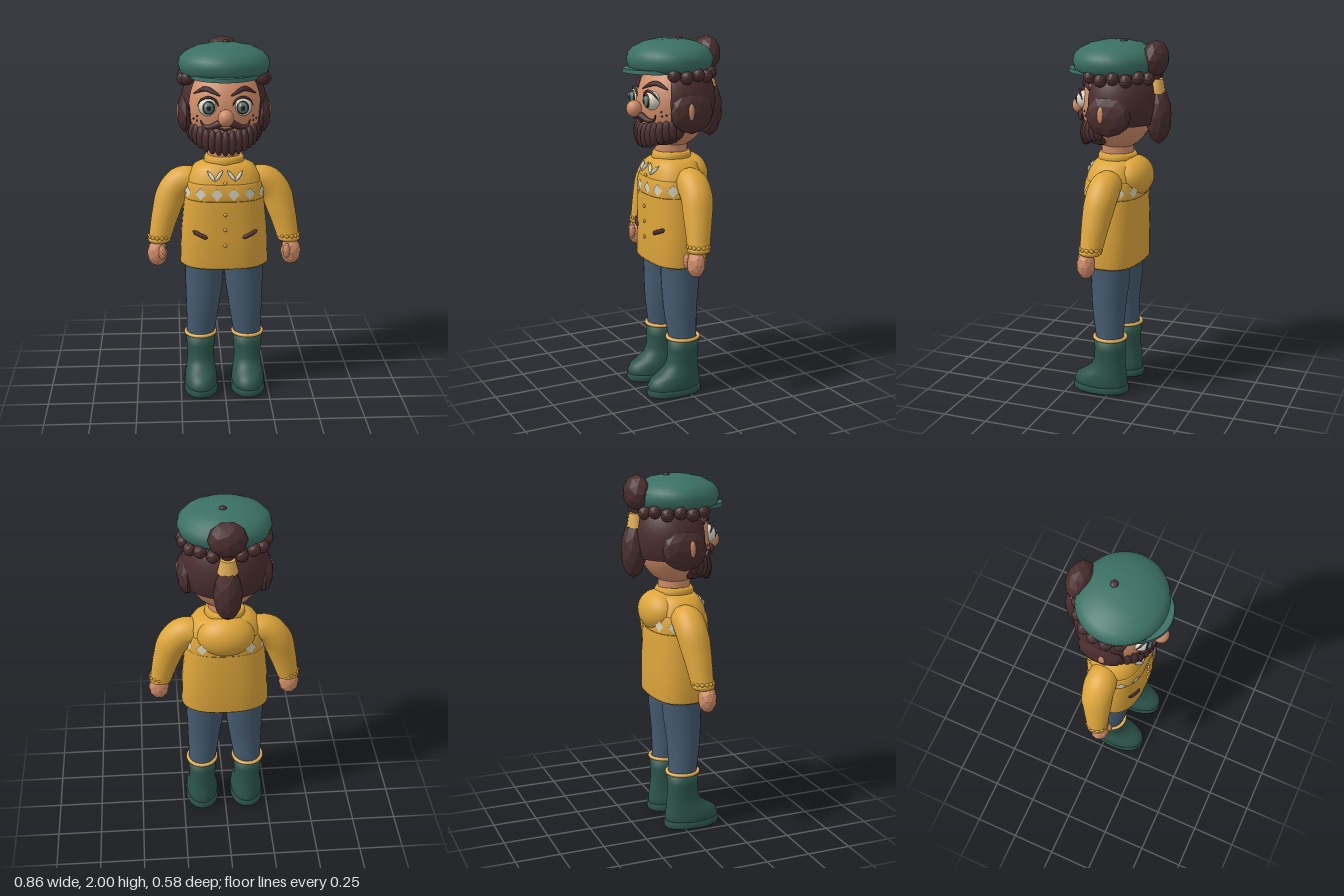
import * as THREE from 'three';

const mat = (name, color, side = THREE.FrontSide) => {
  const m = new THREE.MeshStandardMaterial({ color, side });
  m.name = name;
  return m;
};

export function createModel() {
  const root = new THREE.Group();
  root.name = 'beardedFigure';
  const yellow = mat('yellow wool', 0xdda53a);
  const brown = mat('dark brown hair', 0x4a2e2e, THREE.DoubleSide);
  const skin = mat('skin', 0xd08d68);
  const capGreen = mat('cap green', 0x3b7064);
  const bootGreen = mat('boot green', 0x2c544b);
  const denim = mat('denim', 0x43596d);
  const gold = mat('gold trim', 0xe0ae55);
  const cream = mat('cream', 0xd9d5c4, THREE.DoubleSide);
  const iris = mat('iris grey green', 0x5f7f74);
  const black = mat('pupil black', 0x1d1c1c);

  const add = (name, geo, material, pos = [0, 0, 0], scale = [1, 1, 1]) => {
    const m = new THREE.Mesh(geo, material);
    m.name = name;
    m.position.set(...pos);
    m.scale.set(...scale);
    root.add(m);
    return m;
  };
  const ball = (name, material, pos, r) => add(name, new THREE.SphereGeometry(1, 24, 16), material, pos, r);
  // Faceted lump
  const lump = (name, material, pos, r, detail = 1) => {
    const g = new THREE.IcosahedronGeometry(1, detail);
    g.computeVertexNormals();
    return add(name, g, material, pos, r);
  };
  // Point of a rounded-rectangle ring [y, halfWidth, zBack, zFront]
  const P = 2.5;
  const ringPoint = ([y, rx, z0, z1], a, p) => {
    const c = Math.cos(a), s = Math.sin(a), e = 2 / p;
    return [Math.sign(c) * Math.abs(c) ** e * rx, y,
      (z0 + z1) / 2 + Math.sign(s) * Math.abs(s) ** e * (z1 - z0) / 2];
  };
  // Closed skin through rings listed from bottom to top
  const loft = (rings, p = 2, n = 40) => {
    const v = [], idx = [], k = rings.length;
    for (const r of rings) for (let j = 0; j < n; j++) v.push(...ringPoint(r, j / n * Math.PI * 2, p));
    for (const r of [rings[0], rings[k - 1]]) v.push(0, r[0], (r[2] + r[3]) / 2);
    for (let j = 0; j < n; j++) {
      const q = (j + 1) % n;
      for (let i = 0; i < k - 1; i++) {
        const a = i * n + j, b = a + n, c = i * n + q, d = c + n;
        idx.push(a, b, c, c, b, d);
      }
      idx.push(k * n, j, q, k * n + 1, (k - 1) * n + q, (k - 1) * n + j);
    }
    const g = new THREE.BufferGeometry();
    g.setAttribute('position', new THREE.Float32BufferAttribute(v, 3));
    g.setIndex(idx);
    g.computeVertexNormals();
    return g;
  };
  // Tube whose radius changes along its path
  const limb = (pts, radii, seg = 20, n = 16) => {
    const curve = new THREE.CatmullRomCurve3(pts.map(p => new THREE.Vector3(...p)));
    const g = new THREE.TubeGeometry(curve, seg, 1, n), pos = g.attributes.position;
    const v = new THREE.Vector3();
    for (let i = 0; i <= seg; i++) {
      const c = curve.getPointAt(i / seg), t = i / seg * (radii.length - 1);
      const f = Math.min(Math.floor(t), radii.length - 2);
      const r = THREE.MathUtils.lerp(radii[f], radii[f + 1], t - f);
      for (let j = 0; j <= n; j++) {
        const id = i * (n + 1) + j;
        v.fromBufferAttribute(pos, id).sub(c).multiplyScalar(r).add(c);
        pos.setXYZ(id, v.x, v.y, v.z);
      }
    }
    return g;
  };

  // Jacket body
  const body = [[0.755, 0.232, -0.132, 0.165], [0.77, 0.247, -0.147, 0.18], [0.95, 0.24, -0.147, 0.18],
    [1.1, 0.225, -0.145, 0.18], [1.2, 0.212, -0.14, 0.18], [1.27, 0.2, -0.125, 0.165],
    [1.32, 0.165, -0.105, 0.14], [1.345, 0.11, -0.09, 0.12]];
  const ringAt = (y, grow = 0) => {
    const i = Math.max(0, body.findIndex(r => r[0] >= y) - 1), a = body[i], b = body[i + 1];
    const r = a.map((q, k) => THREE.MathUtils.lerp(q, b[k], (y - a[0]) / (b[0] - a[0])));
    return [y, r[1] + grow, r[2] - grow, r[3] + grow];
  };
  const frontZ = (x, y) => {
    const [, rx, z0, z1] = ringAt(y);
    return (z0 + z1) / 2 + (z1 - z0) / 2 * (1 - Math.min(1, Math.abs(x) / rx) ** P) ** (1 / P);
  };
  add('jacketBody', loft(body, P), yellow);
  add('chestBand', loft([1.145, 1.15, 1.19, 1.235, 1.24].map((y, i) => ringAt(y, i % 4 ? 0.005 : 0)), P), yellow);
  add('collar', loft([[1.325, 0.1, -0.085, 0.115], [1.34, 0.112, -0.095, 0.125],
    [1.365, 0.11, -0.093, 0.122], [1.38, 0.1, -0.083, 0.112]]), yellow);
  ball('hood', yellow, [0, 1.245, -0.075], [0.16, 0.118, 0.112]);

  // Diamonds around the chest band
  const path = new THREE.CatmullRomCurve3(Array.from({ length: 48 }, (_, i) =>
    new THREE.Vector3(...ringPoint(ringAt(1.19, 0.008), Math.PI / 2 + i / 48 * Math.PI * 2, P))), true);
  for (let i = 0; i < 14; i++) {
    const u = (i + 0.5) / 14, p = path.getPointAt(u), t = path.getTangentAt(u);
    const d = add('bandDiamond', new THREE.CircleGeometry(1, 4), cream, p.toArray(), [0.032, 0.035, 1]);
    d.rotation.y = Math.atan2(-t.z, t.x);
    d.rotation.y += Math.cos(d.rotation.y) * p.z + Math.sin(d.rotation.y) * p.x < 0 ? Math.PI : 0;
  }
  for (const y of [0.9, 0.99, 1.075, 1.25]) ball('button', gold, [0, y, frontZ(0, y) + 0.004], [0.01, 0.01, 0.007]);

  // Neck and head
  const headZ = (x, y) => 0.01 + 0.2 * Math.sqrt(Math.max(0, 1 - (x / 0.212) ** 2 - ((y - 1.64) / 0.245) ** 2));
  add('neck', new THREE.CylinderGeometry(0.09, 0.09, 0.12, 24), skin, [0, 1.4, 0.015]);
  ball('head', skin, [0, 1.64, 0.01], [0.212, 0.245, 0.2]);
  ball('nose', skin, [0, 1.622, 0.24], [0.043, 0.046, 0.042]);
  const onFace = (pts, lift) => pts.map(([x, y]) => [x, y, headZ(x, y) + lift]);
  add('mouth', limb(onFace([[-0.065, 1.565], [0, 1.552], [0.065, 1.565]], 0.004), [0.002, 0.006, 0.002], 12, 8), brown);

  for (const s of [-1, 1]) {
    const mir = pts => pts.map(([x, ...q]) => [x * s, ...q]);
    // Eye, brow, moustache
    ball('eyeWhite', cream, [0.09 * s, 1.672, 0.168], [0.053, 0.052, 0.05]);
    ball('irisRim', black, [0.09 * s, 1.672, 0.197], [0.036, 0.038, 0.026]);
    ball('iris', iris, [0.09 * s, 1.672, 0.2], [0.032, 0.034, 0.026]);
    ball('pupil', black, [0.09 * s, 1.672, 0.215], [0.015, 0.018, 0.014]);
    ball('eyeGlint', cream, [0.09 * s - 0.012, 1.685, 0.222], [0.007, 0.007, 0.005]);
    add('upperLid', limb(mir([[0.035, 1.675, 0.2], [0.055, 1.712, 0.202], [0.09, 1.726, 0.198], [0.128, 1.712, 0.185],
      [0.147, 1.68, 0.165]]), [0.002, 0.006, 0.007, 0.006, 0.002], 16, 8), brown);
    add('eyebrow', limb(mir(onFace([[0.03, 1.733], [0.06, 1.75], [0.105, 1.765], [0.165, 1.735]], 0.008)),
      [0.004, 0.013, 0.013, 0.003], 16, 8), brown);
    add('moustache', limb(mir(onFace([[0, 1.593], [0.04, 1.585], [0.085, 1.566], [0.118, 1.572], [0.132, 1.6]], 0.012)),
      [0.012, 0.02, 0.015, 0.009, 0.002], 20, 10), brown);
    for (const [x, y] of [[0.15, 1.618], [0.168, 1.6], [0.15, 1.593]])
      ball('freckle', brown, [x * s, y, headZ(x, y)], [0.005, 0.005, 0.005]);

    // Side hair and ear
    lump('sideLock', brown, [0.205 * s, 1.61, -0.005], [0.052, 0.115, 0.128]);
    ball('ear', skin, [0.244 * s, 1.62, 0.02], [0.015, 0.046, 0.02]);

    // Sleeve, cuff and hand
    add('sleeve', limb(mir([[0.13, 1.215, 0], [0.215, 1.228, 0.003], [0.282, 1.17, 0.006], [0.325, 1.05, 0.02],
      [0.362, 0.9, 0.035]]), [0.07, 0.088, 0.084, 0.072, 0.06], 28, 24), yellow);
    const cuff = add('cuff', new THREE.TorusGeometry(0.047, 0.017, 10, 24), yellow, [0.364 * s, 0.9, 0.036]);
    cuff.rotation.x = Math.PI / 2;
    for (let i = 0; i < 14; i++) {
      const a = i / 14 * Math.PI * 2;
      add('cuffFrill', new THREE.SphereGeometry(0.012, 8, 6), yellow,
        [0.361 * s + 0.056 * Math.cos(a), 0.917, 0.035 + 0.056 * Math.sin(a)]);
    }
    lump('hand', skin, [0.374 * s, 0.825, 0.057], [0.058, 0.078, 0.05]);
    lump('thumb', skin, [0.346 * s, 0.838, 0.098], [0.022, 0.045, 0.02]);

    // Collar points and pocket
    for (const [a, b] of [[[0.095, 1.312], [0.055, 1.262]], [[0.055, 1.262], [0.012, 1.318]]]) {
      const ends = mir([a, b].map(([x, y]) => [x, y, frontZ(x, y) + 0.008]));
      add('collarPoint', limb(ends, [0.002, 0.01, 0.01, 0.002], 12, 8), cream);
    }
    const slit = mir([[0.095, 0.94], [0.137, 0.957], [0.178, 0.975]].map(([x, y]) => [x, y, frontZ(x, y) + 0.003]));
    add('pocketSlit', limb(slit, [0.002, 0.012, 0.012, 0.012, 0.012, 0.012, 0.012, 0.002], 21, 8), brown);

    // Trouser leg
    add('trouserLeg', limb(mir([[0.108, 0.84, 0.015], [0.112, 0.68, 0.017], [0.122, 0.5, 0.022], [0.135, 0.31, 0.012]]),
      [0.112, 0.108, 0.093, 0.077], 20, 28), denim);
    // Boot with sole and trim
    const boot = new THREE.Group();
    boot.name = 'boot';
    boot.position.x = 0.135 * s;
    root.add(boot);
    boot.add(
      add('bootUpper', loft([[0.02, 0.09, -0.088, 0.222], [0.06, 0.094, -0.09, 0.227], [0.095, 0.09, -0.086, 0.208],
        [0.12, 0.085, -0.082, 0.165], [0.15, 0.08, -0.079, 0.125], [0.19, 0.076, -0.075, 0.105],
        [0.26, 0.08, -0.075, 0.1], [0.33, 0.086, -0.08, 0.104]], 2.1), bootGreen),
      add('bootSole', loft([[0, 0.09, -0.09, 0.222], [0.008, 0.098, -0.096, 0.23], [0.034, 0.098, -0.096, 0.231],
        [0.042, 0.091, -0.089, 0.224]], 2.2), bootGreen));
    const trim = add('bootTrim', new THREE.TorusGeometry(0.084, 0.01, 10, 32), gold, [0, 0.33, 0.012], [1, 1.06, 1]);
    trim.rotation.x = Math.PI / 2;
    boot.add(trim);
  }
  ball('trouserSeat', denim, [0, 0.82, 0.015], [0.19, 0.08, 0.12]);

  // Beard of upright lumps along the jaw
  ball('beardBase', brown, [0, 1.485, 0.085], [0.175, 0.07, 0.11]);
  for (let i = 0; i < 15; i++) {
    const a = (i - 7) / 7 * 1.35, w = Math.sin(a) ** 2;
    add('beardLock', new THREE.SphereGeometry(1, 10, 8), brown,
      [0.185 * Math.sin(a), 1.475 + 0.055 * w, 0.02 + 0.172 * Math.cos(a)], [0.026, 0.07 - 0.012 * w, 0.03]);
  }

  // Hair shell, tufts, bun and ponytail
  const open = 0.95;
  add('hairShell', new THREE.SphereGeometry(1, 28, 12, Math.PI / 2 + open, 2 * Math.PI - 2 * open, 0.4, 1.62),
    brown, [0, 1.66, -0.01], [0.235, 0.25, 0.215]);
  for (let i = 0; i < 13; i++) {
    const a = -0.45 + i / 12 * (Math.PI + 0.9);
    lump('hairTuft', brown, [0.222 * Math.cos(a), 1.812 - 0.012 * (i % 2), 0.01 - 0.205 * Math.sin(a)],
      [0.036, 0.038, 0.036]);
  }
  lump('hairBun', brown, [0, 1.9, -0.2], [0.104, 0.098, 0.072]);
  add('hairTie', new THREE.CylinderGeometry(0.04, 0.055, 0.075, 12), gold, [0, 1.755, -0.212], [1, 1, 0.8]);
  lump('ponytail', brown, [0, 1.592, -0.222], [0.078, 0.155, 0.07]);

  // Flat cap
  const profile = [[0.001, 1.82], [0.215, 1.822], [0.238, 1.84], [0.249, 1.88], [0.24, 1.915], [0.21, 1.945],
    [0.15, 1.973], [0.08, 1.987], [0, 1.99]].map(p => new THREE.Vector2(...p));
  add('cap', new THREE.LatheGeometry(profile, 40), capGreen, [0, 0, 0.025], [1, 1, 0.94]);
  add('capVisor', new THREE.CylinderGeometry(0.99, 1, 0.022, 40), capGreen, [0, 1.827, 0.07], [0.19, 1, 0.22]);
  lump('capButton', brown, [0.012, 1.988, -0.025], [0.021, 0.012, 0.021]);

  return root;
}
